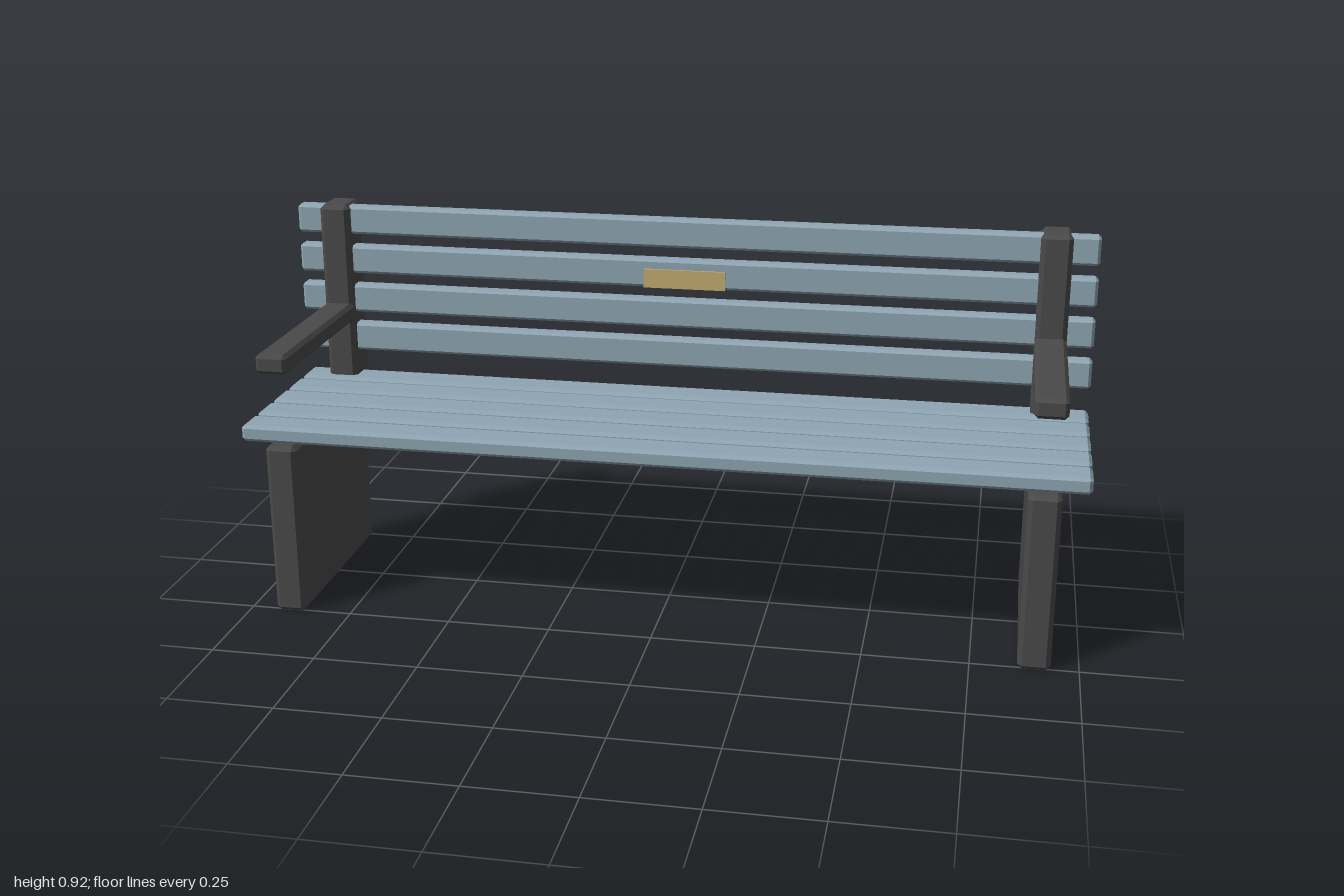
import * as THREE from 'three';
import { ConvexGeometry } from 'three/addons/geometries/ConvexGeometry.js';

// Box with every edge and corner chamfered by c, given by its min and max on each axis
function chamferBox([x0, x1], [y0, y1], [z0, z1], c) {
  const half = [(x1 - x0) / 2, (y1 - y0) / 2, (z1 - z0) / 2];
  const points = [];
  for (const sx of [-1, 1]) for (const sy of [-1, 1]) for (const sz of [-1, 1]) {
    for (let axis = 0; axis < 3; axis++) {
      const [x, y, z] = half.map((h, i) => (i === axis ? h : h - c));
      points.push(new THREE.Vector3(sx * x, sy * y, sz * z));
    }
  }
  return new ConvexGeometry(points).translate((x0 + x1) / 2, (y0 + y1) / 2, (z0 + z1) / 2);
}

export function createModel() {
  const bench = new THREE.Group();
  bench.name = 'bench';

  const material = (name, color) => {
    const m = new THREE.MeshStandardMaterial({ color });
    m.name = name;
    return m;
  };
  const slatBlue = material('slatBlueGrey', 0x8fa5b3);
  const frameGrey = material('frameDarkGrey', 0x4a4a4a);
  const brass = material('plaqueBrass', 0xc4ac72);

  const add = (name, geometry, mat) => {
    const mesh = new THREE.Mesh(geometry, mat);
    mesh.name = name;
    bench.add(mesh);
  };

  // Five seat slats
  for (let i = 0; i < 5; i++) {
    const z = 0.204 - i * 0.102;
    add('seatSlat' + (i + 1), chamferBox([-1, 1], [0.43, 0.471], [z - 0.041, z + 0.041], 0.008), slatBlue);
  }

  // Four backrest slats, passing through the posts
  for (let i = 0; i < 4; i++) {
    const y = 0.571 + i * 0.102;
    add('backSlat' + (i + 1), chamferBox([-1, 1], [y - 0.036, y + 0.036], [-0.243, -0.204], 0.007), slatBlue);
  }

  // Side frames: panel leg, back post and armrest
  for (const [side, x] of [['left', 0.897], ['right', -0.897]]) {
    const width = [x - 0.038, x + 0.038];
    add(side + 'Leg', chamferBox(width, [0, 0.429], [-0.244, 0.265], 0.011), frameGrey);
    add(side + 'BackPost', chamferBox(width, [0.431, 0.918], [-0.285, -0.184], 0.011), frameGrey);
    add(side + 'Armrest', chamferBox(width, [0.615, 0.663], [-0.224, 0.285], 0.009), frameGrey);
  }

  // Blank plaque on the backrest
  add('plaque', new THREE.BoxGeometry(0.204, 0.047, 0.009).translate(0, 0.763, -0.203), brass);

  return bench;
}
